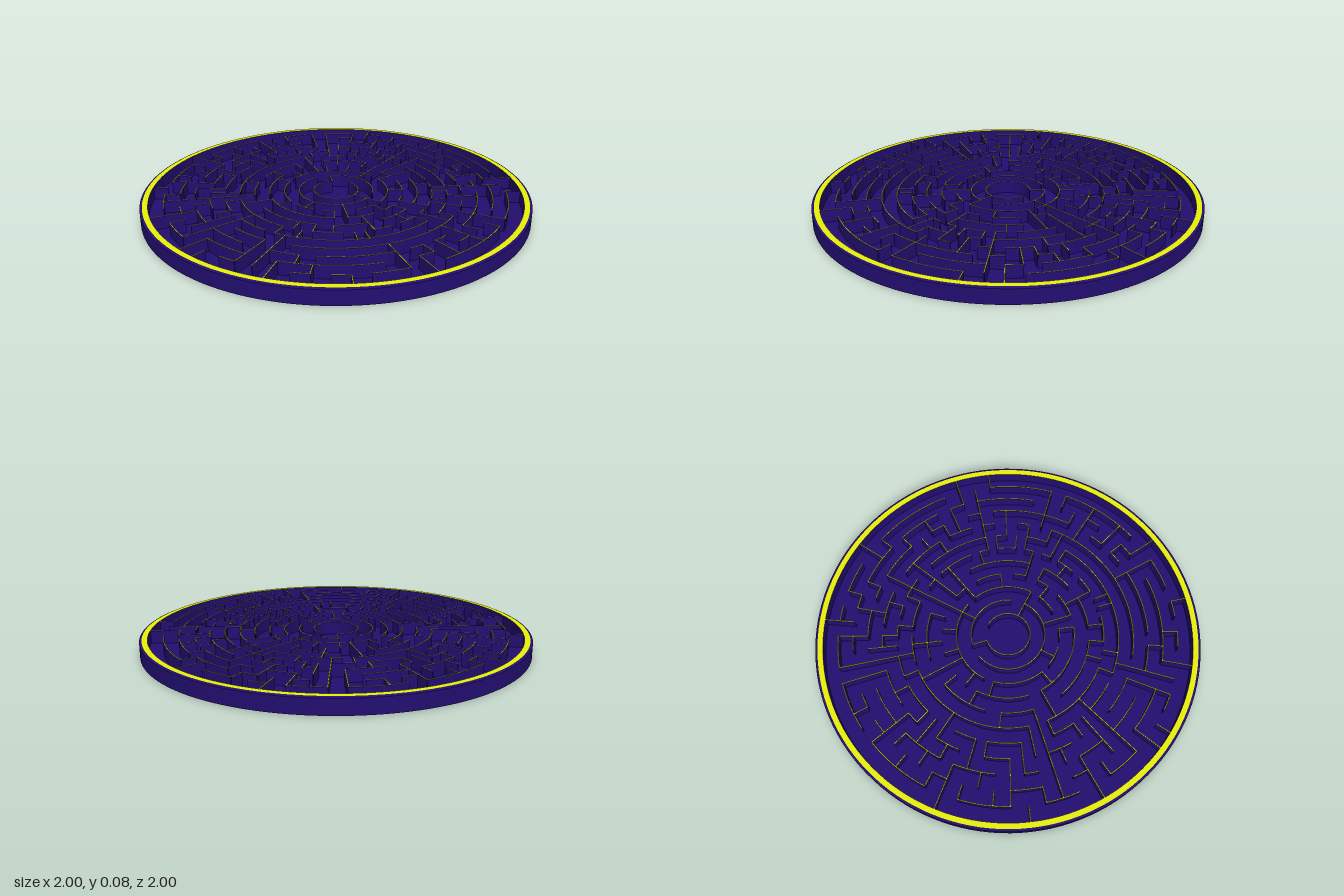
import * as THREE from 'three';

const FLOOR = 0.012, TOP = 0.08, THICK = 0.005;
const LANES = 11, SECTORS = 64;                // sectors run clockwise from the back
const ringRadius = (k) => 0.115 + 0.0768 * k;  // ring k is the inner edge of lane k
const span = (k) => (k < 2 ? 4 : k < 5 ? 2 : 1); // sectors per maze cell in lane k

const indigo = new THREE.MeshStandardMaterial({ color: 0x220e70 });
const yellow = new THREE.MeshStandardMaterial({ color: 0xe8f00c });

const wrap = (u) => (u + SECTORS) % SECTORS;
const arcKey = (k, u) => `arc ${k} ${u}`;
const spokeKey = (k, u) => `spoke ${k} ${u}`;

function polar(r, u) {
  const a = (u * 2 * Math.PI) / SECTORS;
  return new THREE.Vector2(r * Math.sin(a), r * Math.cos(a));
}

// Long walls that the paths must go round
function fixedWalls() {
  const fixed = new Set();
  const spokes = [[2, 3, 5], [8, 3, 8], [17, 5, 10], [32, 5, 6], [37, 9, 11], [38, 6, 10],
    [46, 8, 11], [48, 6, 9], [51, 8, 10], [55, 9, 11], [60, 8, 10]];
  for (const [u, from, to] of spokes) {
    for (let k = from; k < to; k++) fixed.add(spokeKey(k, u));
  }
  const arcs = [[1, 24, 36], [1, 48, 56], [2, 56, 72], [5, 0, 2], [6, 26, 38],
    [7, 24, 36], [8, 60, 63], [9, 31, 37], [10, 58, 60]];
  for (const [k, from, to] of arcs) {
    for (let u = from; u < to; u += span(k)) fixed.add(arcKey(k, wrap(u)));
  }
  return fixed;
}

// Carves paths by a seeded depth-first walk and returns the opened walls
function carvePaths() {
  let seed = 77;
  const random = () => (seed = (seed * 16807) % 2147483647) / 2147483647;
  const fixed = fixedWalls();
  const open = new Set([arcKey(0, 0), arcKey(0, 4)]); // way into the centre
  const visited = new Set(['0 0']);
  const stack = [[0, 0]];
  while (stack.length) {
    const [k, u] = stack[stack.length - 1];
    const w = span(k);
    const forward = [k, wrap(u + w), spokeKey(k, wrap(u + w))];
    const back = [k, wrap(u - w), spokeKey(k, u)];
    const steps = [forward, forward, back, back];  // paths favour running round a lane
    if (k > 0) steps.push([k - 1, u - (u % span(k - 1)), arcKey(k, u)]);
    if (k < LANES - 1) {
      for (let v = u; v < u + w; v += span(k + 1)) steps.push([k + 1, v, arcKey(k + 1, v)]);
    }
    const free = steps.filter(([a, b, wall]) => !visited.has(`${a} ${b}`) && !fixed.has(wall));
    if (!free.length) {
      stack.pop();
      continue;
    }
    const [a, b, wall] = free[Math.floor(random() * free.length)];
    open.add(wall);
    visited.add(`${a} ${b}`);
    stack.push([a, b]);
  }
  return open;
}

// Plan of one curved wall piece
function arcShape(k, u) {
  const outer = [], inner = [];
  for (let i = 0; i <= 2 * span(k); i++) {
    outer.push(polar(ringRadius(k) + THICK / 2, u + i / 2));
    inner.unshift(polar(ringRadius(k) - THICK / 2, u + i / 2));
  }
  return new THREE.Shape([...outer, ...inner]);
}

// Plan of one straight wall piece crossing a lane
function spokeShape(k, u) {
  const side = polar(THICK / 2, u + SECTORS / 4);
  const a = polar(ringRadius(k), u), b = polar(ringRadius(k + 1), u);
  return new THREE.Shape([
    a.clone().sub(side), b.clone().sub(side), b.clone().add(side), a.clone().add(side),
  ]);
}

// Upright walls with dark sides and yellow tops
function walls(name, shapes) {
  const geo = new THREE.ExtrudeGeometry(shapes, { depth: TOP - 0.002 - FLOOR, bevelEnabled: false });
  geo.rotateX(-Math.PI / 2).translate(0, FLOOR, 0);
  const mesh = new THREE.Mesh(geo, [yellow, indigo]);
  mesh.name = name;
  return mesh;
}

// Turned part, one strip per straight run so that edges stay sharp
function turned(name, profile, material) {
  const group = new THREE.Group();
  group.name = name;
  for (let i = 0; i + 1 < profile.length; i++) {
    const pts = [profile[i], profile[i + 1]].map(([x, y]) => new THREE.Vector2(x, y));
    const strip = new THREE.Mesh(new THREE.LatheGeometry(pts, 128), material);
    strip.name = name + 'Face';
    group.add(strip);
  }
  return group;
}

export function createModel() {
  const model = new THREE.Group();
  model.name = 'circularMaze';

  // Tray: underside, outer side and bevelled edge, then rim, inner side and floor
  model.add(turned('trayOutside', [[0, 0], [1, 0], [1, 0.075], [0.988, TOP]], indigo));
  model.add(turned('rimTop', [[0.988, TOP], [0.96, TOP]], yellow));
  model.add(turned('trayInside', [[0.96, TOP], [0.96, FLOOR], [0, FLOOR]], indigo));

  // Maze walls: every cell edge that the paths leave closed
  const open = carvePaths();
  const arcs = [], spokes = [];
  for (let k = 0; k < LANES; k++) {
    for (let u = 0; u < SECTORS; u += span(k)) {
      if (!open.has(arcKey(k, u))) arcs.push(arcShape(k, u));
      if (!open.has(spokeKey(k, u))) spokes.push(spokeShape(k, u));
    }
  }
  model.add(walls('ringWalls', arcs));
  model.add(walls('spokeWalls', spokes));

  return model;
}
